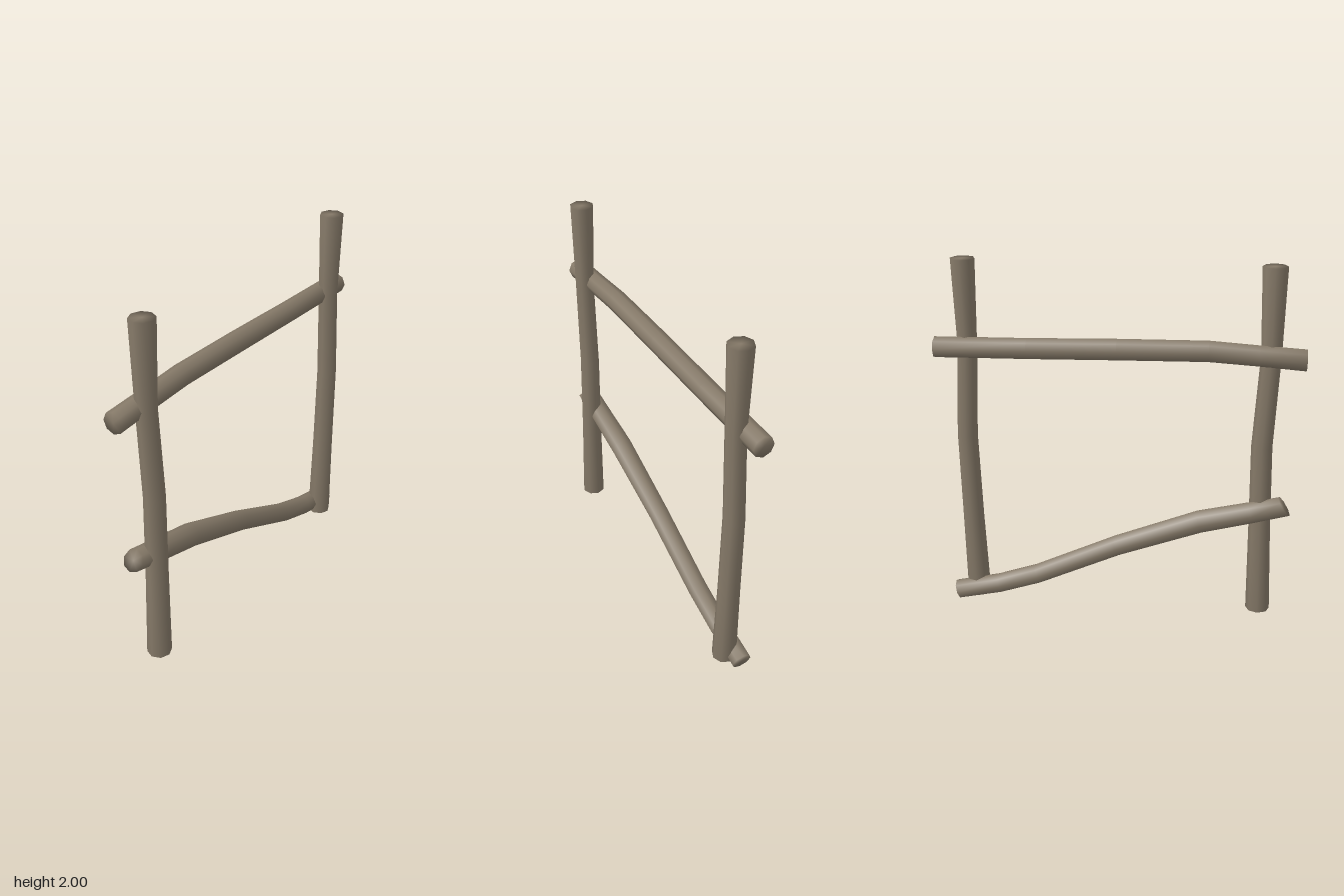
import * as THREE from 'three';

const SIDES = 8;

// Closed log through rings [x, y, radius, lean]; lean is the ring's tilt in degrees from vertical towards +x.
function logGeometry(rings, z) {
  const pos = [], index = [];
  for (const [x, y, r, lean] of rings) {
    const t = THREE.MathUtils.degToRad(lean);
    for (let j = 0; j < SIDES; j++) {
      const a = (j / SIDES) * Math.PI * 2;
      const u = r * Math.cos(a);
      pos.push(x + u * Math.sin(t), y + u * Math.cos(t), z + r * Math.sin(a));
    }
  }
  const last = rings.length - 1;
  const start = pos.length / 3, end = start + 1;
  for (const i of [0, last]) pos.push(rings[i][0], rings[i][1], z);
  for (let j = 0; j < SIDES; j++) {
    const k = (j + 1) % SIDES;
    for (let i = 0; i < last; i++) {
      const a = i * SIDES, b = a + SIDES;
      index.push(a + j, a + k, b + j, a + k, b + k, b + j);
    }
    index.push(start, k, j, end, last * SIDES + j, last * SIDES + k);
  }
  const g = new THREE.BufferGeometry();
  g.setAttribute('position', new THREE.Float32BufferAttribute(pos, 3));
  g.setIndex(index);
  g.computeVertexNormals();
  return g;
}

export function createModel() {
  const group = new THREE.Group();
  const wood = new THREE.MeshStandardMaterial({ color: 0x857968 });
  wood.name = 'weatheredWood';

  const add = (name, geometry, x = 0) => {
    const mesh = new THREE.Mesh(geometry, wood);
    mesh.name = name;
    mesh.position.x = x;
    group.add(mesh);
  };

  // Two identical crooked posts, rings listed from top to bottom
  const post = logGeometry([
    [0, 2, 0.066, 90],
    [-0.003, 1.53, 0.054, 90],
    [0.022, 1.02, 0.057, 90],
    [0.012, 0.52, 0.06, 90],
    [0, 0.03, 0.067, 90],
  ], 0.02);
  add('rightPost', post, -0.8);
  add('leftPost', post, 0.82);

  // Upper rail, nearly level
  add('upperRail', logGeometry([
    [-0.985, 1.525, 0.059, 0],
    [-0.74, 1.54, 0.057, -4],
    [-0.48, 1.555, 0.058, -1],
    [0, 1.547, 0.059, 1],
    [0.48, 1.535, 0.058, 1],
    [0.983, 1.527, 0.058, 0],
  ], -0.026));

  // Lower rail, slipped down at one end, with a slanted cut at the other
  add('lowerRail', logGeometry([
    [-0.915, 0.69, 0.061, 34],
    [-0.74, 0.643, 0.062, 14],
    [-0.457, 0.572, 0.066, 18],
    [0, 0.397, 0.06, 23],
    [0.458, 0.187, 0.058, 21],
    [0.685, 0.11, 0.057, 17],
    [0.932, 0.054, 0.056, 16],
  ], -0.022));

  return group;
}
